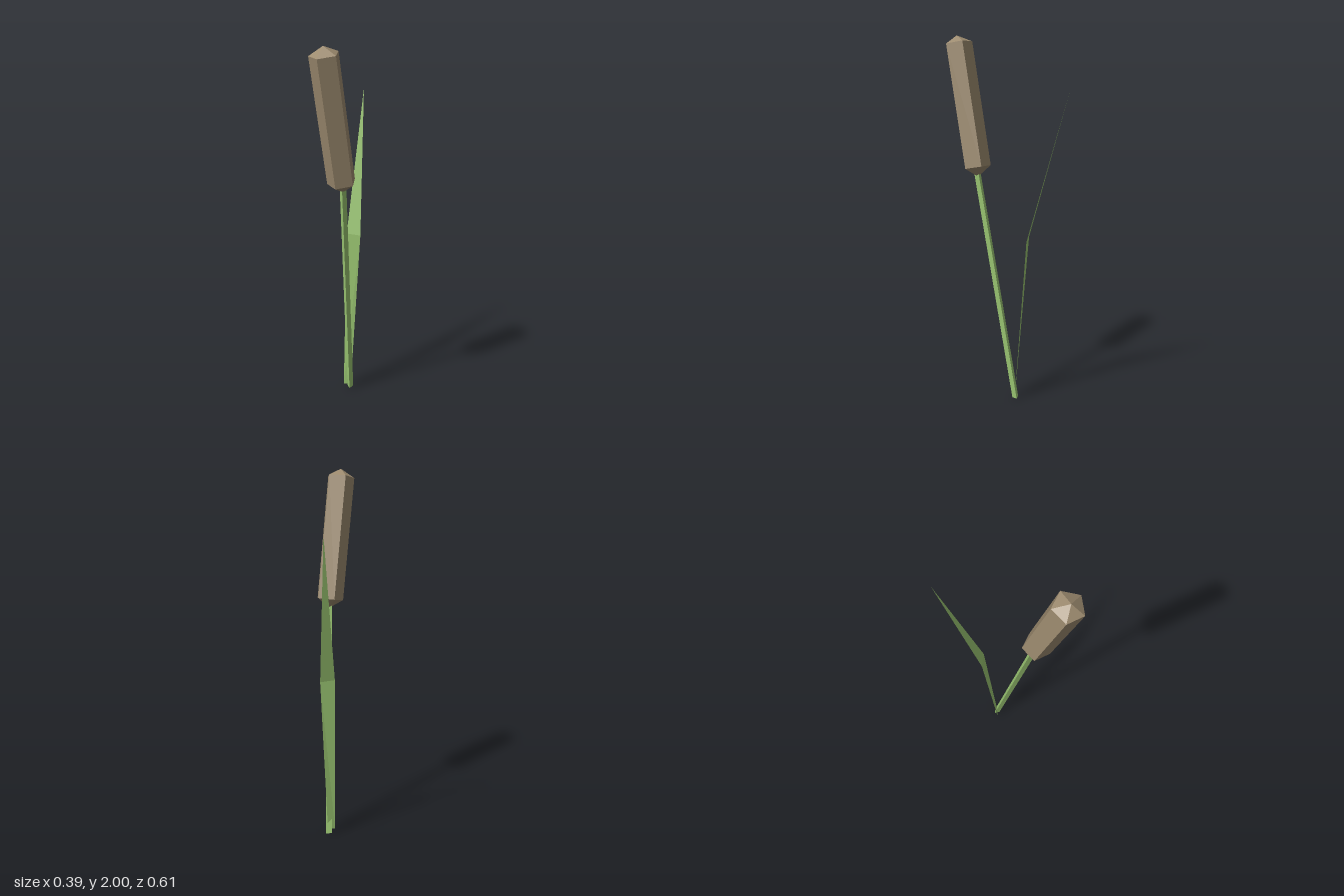
import * as THREE from 'three';

const green = new THREE.MeshStandardMaterial({ color: 0x9cc873, flatShading: true, side: THREE.DoubleSide });
green.name = 'reedGreen';
const brown = new THREE.MeshStandardMaterial({ color: 0x9e8c70, flatShading: true });
brown.name = 'seedBrown';

// Places a mesh built upward from its origin so that it runs from a towards b.
function along(geometry, material, a, b, name) {
  const mesh = new THREE.Mesh(geometry, material);
  mesh.name = name;
  mesh.position.copy(a);
  mesh.quaternion.setFromUnitVectors(new THREE.Vector3(0, 1, 0), b.clone().sub(a).normalize());
  return mesh;
}

export function createModel() {
  const group = new THREE.Group();
  group.name = 'cattail';

  // Leaning three-sided stem
  const foot = new THREE.Vector3(-0.043, 0.005, -0.072);
  const neck = new THREE.Vector3(0.09, 1.29, 0.1);
  const length = foot.distanceTo(neck);
  const stem = new THREE.CylinderGeometry(0.02, 0.02, length, 3, 1, false, 0.68);
  stem.translate(0, length / 2, 0);
  group.add(along(stem, green, foot, neck, 'stem'));

  // Five-sided seed head, pointed at both ends
  const profile = [[0, 0], [0.076, 0.051], [0.076, 0.704], [0, 0.745]].map(([r, y]) => new THREE.Vector2(r, y));
  const head = new THREE.LatheGeometry(profile, 5, THREE.MathUtils.degToRad(95));
  group.add(along(head, brown, new THREE.Vector3(0.09, 1.27, 0.097), new THREE.Vector3(0.12, 2, 0.245), 'seedHead'));

  // Flat leaf: a widening blade that bends outward to a point
  const leaf = new THREE.BufferGeometry();
  leaf.setAttribute('position', new THREE.Float32BufferAttribute([
    -0.063, 0.025, -0.04,
    -0.037, 0.025, -0.072,
    -0.049, 0.94, -0.152,
    -0.106, 0.95, -0.1,
    -0.195, 1.73, -0.305,
  ], 3));
  leaf.setIndex([0, 1, 2, 0, 2, 3, 3, 2, 4]);
  leaf.computeVertexNormals();
  const leafMesh = new THREE.Mesh(leaf, green);
  leafMesh.name = 'leaf';
  group.add(leafMesh);

  return group;
}
